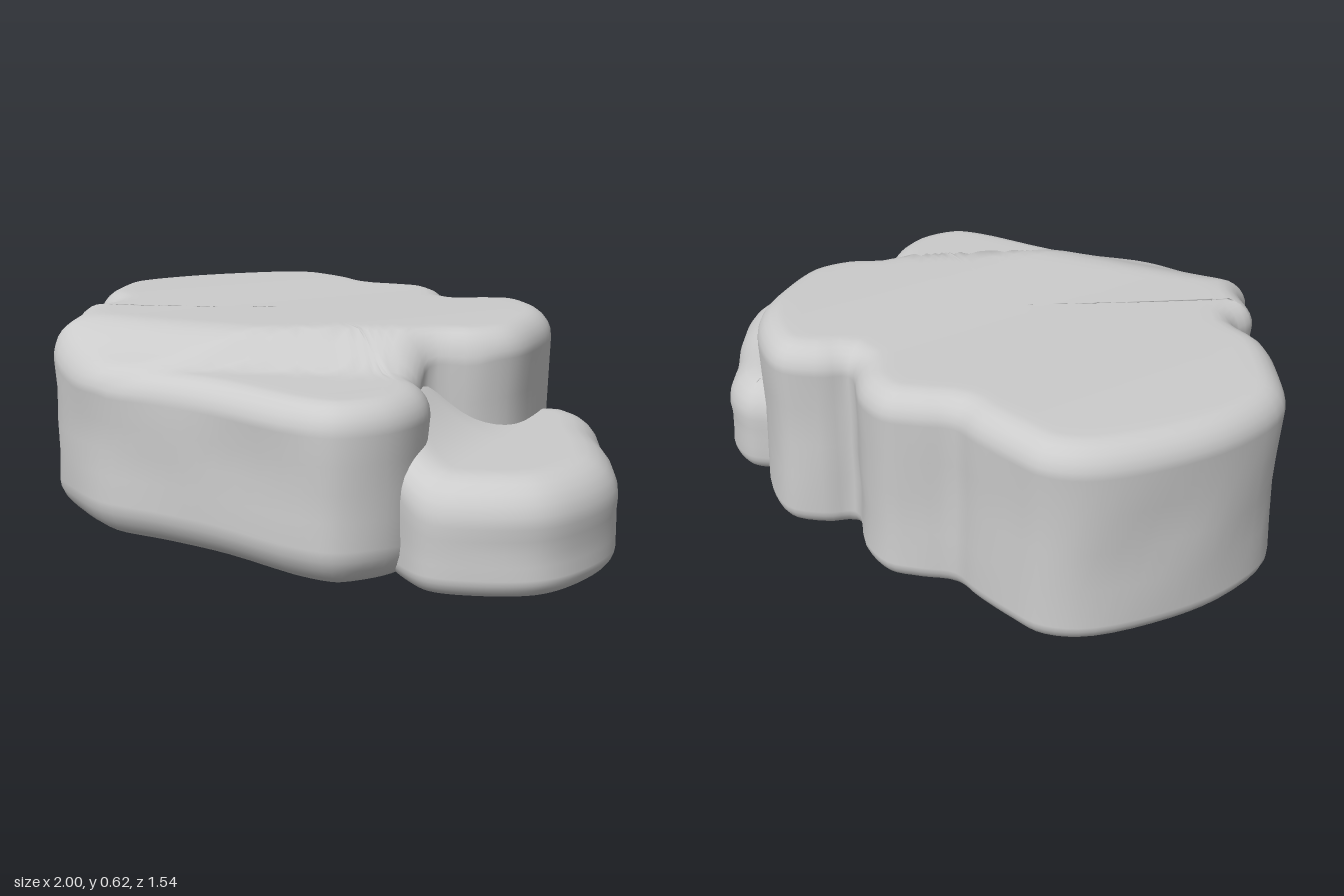
import * as THREE from 'three';

const material = new THREE.MeshStandardMaterial({ color: 0xcccccc, roughness: 0.9 });
const step = THREE.MathUtils.smoothstep;

// Closed rounded slab: an x,z outline swept up through rounded edges, capped to a centre.
function slab(name, outline, centre, height, topRadius, bottomRadius, wobble) {
  const N = 140, CORNER = 6, CAP = 14;
  const curve = new THREE.CatmullRomCurve3(
    outline.map(([x, z]) => new THREE.Vector3(x, 0, z)), true, 'centripetal');
  const rim = [];
  for (let i = 0; i < N; i++) {
    const p = curve.getPoint(i / N), t = curve.getTangent(i / N);
    rim.push({ x: p.x, z: p.z, nx: t.z, nz: -t.x });
  }

  // Each ring is a rule giving a point for one rim sample.
  const rings = [];
  const inset = (p, d) => [p.x - p.nx * d, p.z - p.nz * d];
  const toCentre = ([x, z], k) => [centre[0] + (x - centre[0]) * k, centre[1] + (z - centre[1]) * k];
  for (let j = 0; j < 3; j++) {
    rings.push(p => {
      const [x, z] = toCentre(inset(p, bottomRadius(p)), j / 3);
      return [x, 0, z];
    });
  }
  for (let j = 0; j <= CORNER; j++) {
    const a = j / CORNER * Math.PI / 2;
    rings.push(p => {
      const r = bottomRadius(p), [x, z] = inset(p, r * (1 - Math.sin(a)));
      return [x, r * (1 - Math.cos(a)), z];
    });
  }
  for (const f of [0.25, 0.5, 0.75]) {
    rings.push(p => {
      const lo = bottomRadius(p), hi = height(p.x, p.z) - topRadius;
      const y = lo + (hi - lo) * f;
      const [x, z] = inset(p, wobble * (1 + Math.sin(p.x * 11 + y * 9) * Math.cos(p.z * 8 - y * 7)));
      return [x, y, z];
    });
  }
  for (let j = 0; j <= CORNER; j++) {
    const a = j / CORNER * Math.PI / 2;
    rings.push(p => {
      const [x, z] = inset(p, topRadius * (1 - Math.cos(a)));
      return [x, height(x, z) - topRadius * (1 - Math.sin(a)), z];
    });
  }
  for (let j = 1; j <= CAP; j++) {
    rings.push(p => {
      const [x, z] = toCentre(inset(p, topRadius), 1 - j / CAP);
      return [x, height(x, z), z];
    });
  }

  const position = [], index = [];
  rings.forEach((ring, r) => rim.forEach((p, i) => {
    position.push(...ring(p));
    if (r === rings.length - 1) return;
    const a = r * N + i, b = r * N + (i + 1) % N;
    index.push(a, a + N, b, b, a + N, b + N);
  }));
  const geometry = new THREE.BufferGeometry();
  geometry.setAttribute('position', new THREE.Float32BufferAttribute(position, 3));
  geometry.setIndex(index);
  geometry.computeVertexNormals();
  const mesh = new THREE.Mesh(geometry, material);
  mesh.name = name;
  return mesh;
}

export function createModel() {
  const group = new THREE.Group();
  group.name = 'rock';

  // Main boulder: lobed back, sloping front, sunken shelf at the front left.
  const bodyOutline = [
    [-1, -0.22], [-0.93, -0.42], [-0.79, -0.6], [-0.62, -0.74], [-0.5, -0.77], [-0.4, -0.74],
    [-0.28, -0.69], [-0.2, -0.65], [-0.1, -0.67], [0, -0.68], [0.1, -0.62], [0.2, -0.49],
    [0.28, -0.53], [0.4, -0.55], [0.5, -0.48], [0.6, -0.33], [0.63, -0.15], [0.62, 0.02],
    [0.54, 0.13], [0.42, 0.2], [0.43, 0.29], [0.5, 0.37], [0.54, 0.48], [0.52, 0.63],
    [0.42, 0.75], [0.3, 0.77], [0, 0.72], [-0.2, 0.71], [-0.4, 0.71], [-0.57, 0.63],
    [-0.73, 0.5], [-0.74, 0.4], [-0.8, 0.28], [-0.77, 0.18], [-0.88, 0.08], [-0.95, -0.05],
  ];
  const bodyHeight = (x, z) => {
    const shelf = 0.1 * step(z - (0.44 - 0.53 * x), -0.06, 0.1);
    const slope = 0.09 * step(z, 0.38, 0.68);
    return 0.617 - Math.max(shelf, slope) + 0.004 * Math.sin(x * 6 + z * 4);
  };
  group.add(slab('mainBoulder', bodyOutline, [-0.15, 0], bodyHeight, 0.085,
    p => 0.06 + 0.06 * step(p.z, 0.3, 0.7), 0.006));

  // Low ledge wrapped round the left side, rising slightly where it meets the boulder.
  const ledgeOutline = [
    [0.48, -0.28], [0.6, -0.33], [0.68, -0.34], [0.78, -0.27], [0.86, -0.1], [0.94, 0.05],
    [0.995, 0.22], [0.97, 0.4], [0.9, 0.53], [0.75, 0.62], [0.62, 0.65], [0.53, 0.61],
    [0.4, 0.48], [0.3, 0.2], [0.38, -0.15],
  ];
  const ledgeHeight = (x, z) =>
    0.32 + 0.13 * Math.max(0, 1 - (x - 0.42) / 0.25) ** 2 * step(z, -0.2, 0.2);
  group.add(slab('lowLedge', ledgeOutline, [0.66, 0.17], ledgeHeight, 0.12, () => 0.06, 0.003));

  return group;
}
